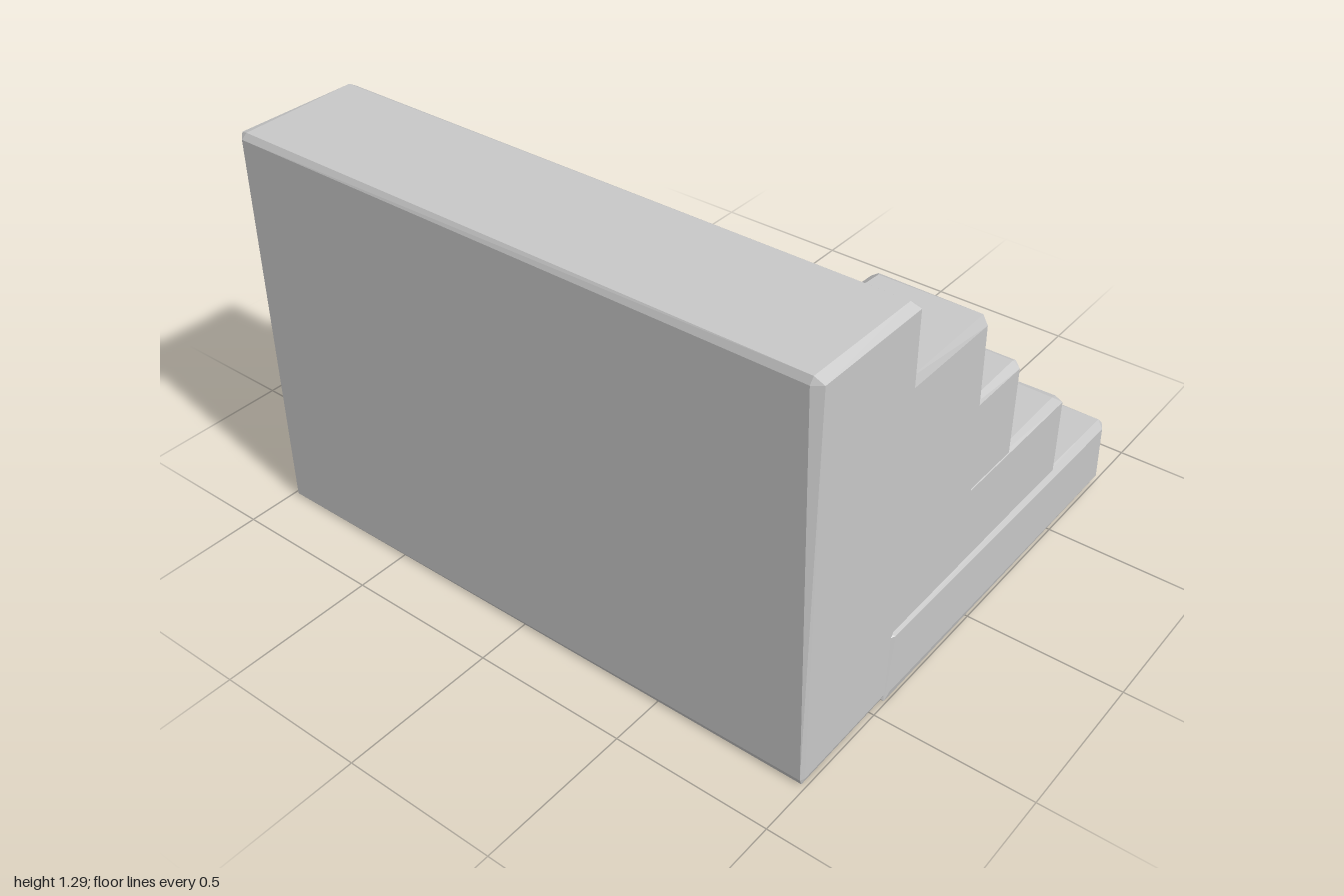
import * as THREE from 'three';
import { ConvexGeometry } from 'three/addons/geometries/ConvexGeometry.js';

// Small seeded generator for the worn, uneven stone edges
function seeded(seed) {
  return () => {
    seed = (seed * 16807) % 2147483647;
    return seed / 2147483647;
  };
}

// Stone block with an irregular chamfer: each corner becomes three points,
// one on each adjoining face, set in from the other two faces
function stoneGeometry([x0, x1], [y0, y1], [z0, z1], wear, rand) {
  const points = [];
  const inset = () => wear * (0.2 + 0.8 * rand());
  for (const sx of [-1, 1]) for (const sy of [-1, 1]) for (const sz of [-1, 1]) {
    const corner = [sx < 0 ? x0 : x1, sy < 0 ? y0 : y1, sz < 0 ? z0 : z1];
    const signs = [sx, sy, sz];
    for (let face = 0; face < 3; face++) {
      points.push(new THREE.Vector3(...corner.map((c, axis) =>
        axis === face ? c : c - signs[axis] * inset())));
    }
  }
  return new ConvexGeometry(points);
}

export function createModel() {
  const group = new THREE.Group();
  group.name = 'stoneSteps';
  const stone = new THREE.MeshStandardMaterial({ color: 0xc8c8c8 });
  stone.name = 'grey stone';
  const rand = seeded(4721);

  // name, x range, y range, z range, edge wear
  const blocks = [
    ['topWall', [-0.997, 0.992], [0, 1.295], [0.4, 0.832], 0.03],
    ['firstStepLong', [-1, 0.62], [0, 0.28], [-0.832, 0.45], 0.025],
    ['firstStepShort', [0.627, 1], [0, 0.24], [-0.826, 0.45], 0.035],
    ['secondStepLong', [-0.99, 0.49], [0.01, 0.49], [-0.495, 0.1], 0.03],
    ['secondStepShort', [0.51, 0.988], [0.01, 0.498], [-0.512, 0.1], 0.035],
    ['thirdStepLong', [-0.99, 0.34], [0.01, 0.785], [-0.185, 0.3], 0.022],
    ['thirdStepShort', [0.355, 0.985], [0.01, 0.798], [-0.19, 0.3], 0.022],
    ['fourthStepLong', [-0.99, 0.612], [0.01, 1.03], [0.052, 0.45], 0.025],
    ['fourthStepShort', [0.62, 0.988], [0.01, 1.07], [0.02, 0.45], 0.035],
  ];
  for (const [name, x, y, z, wear] of blocks) {
    const mesh = new THREE.Mesh(stoneGeometry(x, y, z, wear, rand), stone);
    mesh.name = name;
    group.add(mesh);
  }
  return group;
}
